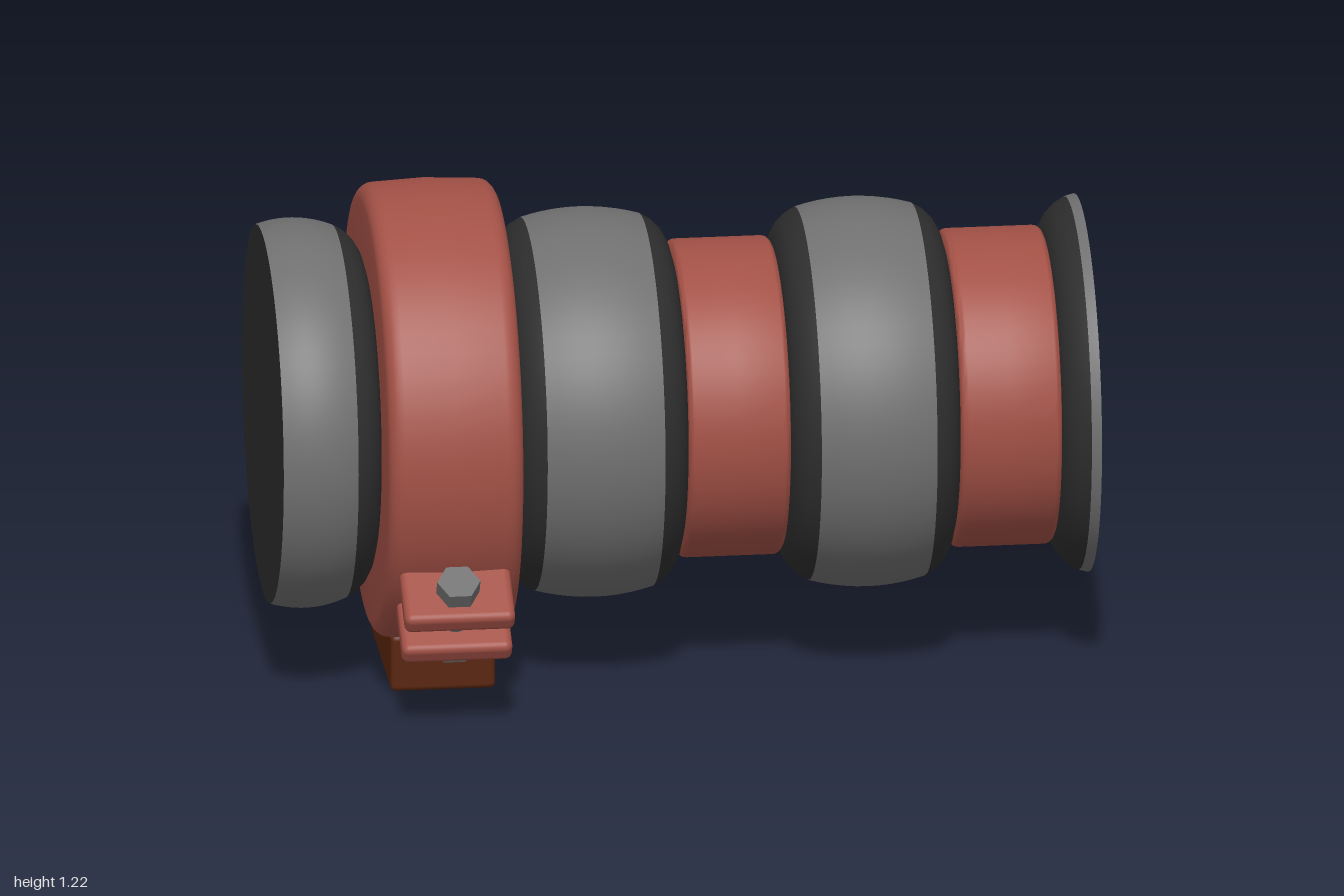
import * as THREE from 'three';
import { toCreasedNormals } from 'three/addons/utils/BufferGeometryUtils.js';
import { RoundedBoxGeometry } from 'three/addons/geometries/RoundedBoxGeometry.js';

const AXIS_Y = 0.655, AXIS_Z = -0.03, SEGMENTS = 64;

const paint = (name, color) => {
  const m = new THREE.MeshStandardMaterial({ color });
  m.name = name;
  return m;
};

export function createModel() {
  const red = paint('brick red', 0xa35146);
  const grey = paint('grey metal', 0x707070);
  const dark = paint('dark rubber', 0x2e2e2e);
  const brown = paint('brown', 0x5a260f);

  const model = new THREE.Group();
  model.name = 'clampedHose';

  const add = (parent, name, geometry, material, x = 0, y = 0, z = 0) => {
    const mesh = new THREE.Mesh(geometry, material);
    mesh.name = name;
    mesh.position.set(x, y, z);
    parent.add(mesh);
    return mesh;
  };

  // Everything turned around the long axis; profile points are [x, radius]
  const hose = new THREE.Group();
  hose.name = 'hose';
  hose.position.set(0, AXIS_Y, AXIS_Z);
  model.add(hose);

  const turn = (name, profile, material, crease = 0.9) => {
    const points = profile.map(([x, r]) => new THREE.Vector2(r, x));
    const geometry = new THREE.LatheGeometry(points, SEGMENTS).rotateZ(-Math.PI / 2);
    return add(hose, name, toCreasedNormals(geometry, crease), material);
  };

  // Band with rounded edges
  const band = (name, x0, x1, r, bevel, crown) => {
    const profile = [[x0, 0.3]];
    for (let i = 0; i <= 5; i++) {
      const a = (i / 5) * Math.PI / 2;
      profile.push([x0 + bevel * (1 - Math.cos(a)), r - crown - bevel * (1 - Math.sin(a))]);
    }
    profile.push([(x0 + x1) / 2, r]);
    for (let i = 5; i >= 0; i--) {
      const a = (i / 5) * Math.PI / 2;
      profile.push([x1 - bevel * (1 - Math.cos(a)), r - crown - bevel * (1 - Math.sin(a))]);
    }
    profile.push([x1, 0.3]);
    return turn(name, profile, red);
  };

  // Bulging ribs: dark shoulders on both sides of a grey crown
  const shoulder = [[0, 0.3], [0, 0.365], [0.008, 0.395], [0.022, 0.42], [0.042, 0.44], [0.066, 0.454]];
  const leftShoulder = (x) => turn('ribShoulder', shoulder.map(([d, r]) => [x + d, r]), dark);
  const rightShoulder = (x) => turn('ribShoulder', shoulder.map(([d, r]) => [x - d, r]).reverse(), dark);
  const crown = (x0, x1, from = 0, to = 1) => {
    const profile = [];
    for (let i = 0; i <= 10; i++) {
      const t = from + (to - from) * i / 10;
      profile.push([x0 + (x1 - x0) * t, 0.475 - 0.021 * Math.abs(2 * t - 1) ** 2]);
    }
    turn('ribCrown', profile, grey);
  };

  for (const [x0, x1] of [[-0.42, 0], [0.25, 0.665]]) {
    leftShoulder(x0);
    crown(x0 + 0.066, x1 - 0.066);
    rightShoulder(x1);
  }
  // Cut ribs at both ends
  crown(-1.02, -0.816, 0.02 / 0.204, 1);
  rightShoulder(-0.75);
  leftShoulder(0.91);
  crown(0.976, 1.26, 0, 0.024 / 0.284);

  for (const side of [-1, 1]) {
    const radius = side > 0 ? 0.4605 : 0.461;
    const cap = new THREE.CircleGeometry(radius, SEGMENTS).rotateY(side * Math.PI / 2);
    add(hose, 'endCap', cap, dark, side);
  }

  band('coupling', 0, 0.25, 0.388, 0.02, 0);
  band('coupling', 0.665, 0.913, 0.388, 0.02, 0);
  band('clampRing', -0.75, -0.42, 0.56, 0.04, 0.006);

  // Foot under the clamp
  add(model, 'foot', new RoundedBoxGeometry(0.256, 0.146, 0.43, 3, 0.014), brown, -0.583, 0.073, AXIS_Z);

  // Tilted clamp lugs with bolt and nut
  const fastener = new THREE.Group();
  fastener.name = 'clampFastener';
  fastener.position.set(-0.585, 0.305, 0.48);
  fastener.rotation.x = 0.55;
  model.add(fastener);

  add(fastener, 'boltShaft', new THREE.CylinderGeometry(0.03, 0.03, 0.2, 20), grey);
  for (const side of [-1, 1]) {
    add(fastener, 'clampLug', new RoundedBoxGeometry(0.27, 0.056, 0.165, 4, 0.018), red, 0, side * 0.059, 0);
    const hex = toCreasedNormals(new THREE.CylinderGeometry(0.053, 0.053, 0.045, 6), 0.3);
    add(fastener, side > 0 ? 'boltHead' : 'nut', hex.rotateY(Math.PI / 6), grey, 0, side * 0.106, 0);
  }

  return model;
}
